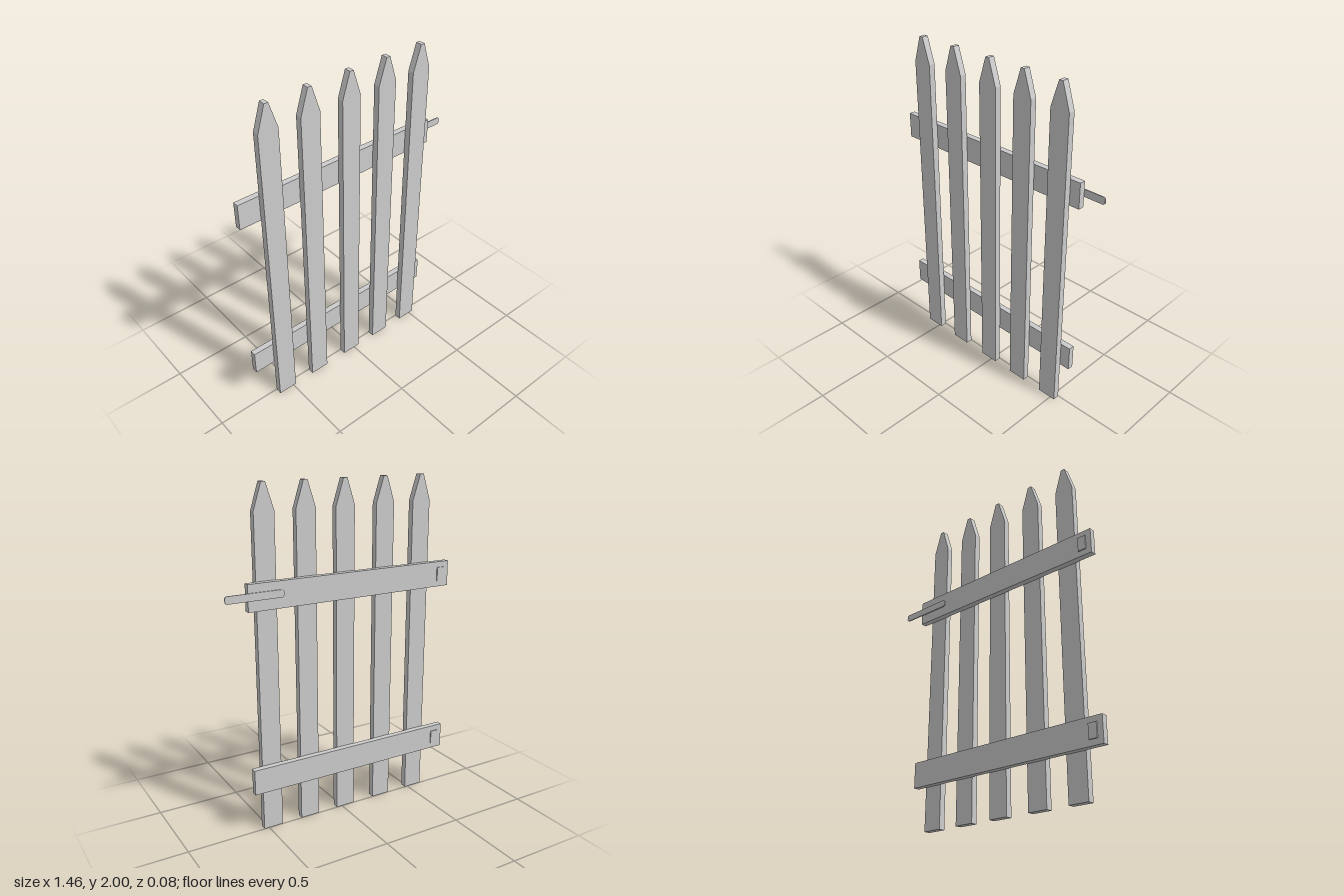
import * as THREE from 'three';

const material = new THREE.MeshStandardMaterial({ color: 0xcccccc, flatShading: true });

export function createModel() {
  const gate = new THREE.Group();
  gate.name = 'picketGate';

  const add = (name, geometry) => {
    const mesh = new THREE.Mesh(geometry, material);
    mesh.name = name;
    gate.add(mesh);
  };
  // Box given by its limits on each axis
  const box = (name, [x0, x1], [y0, y1], [z0, z1]) =>
    add(name, new THREE.BoxGeometry(x1 - x0, y1 - y0, z1 - z0)
      .translate((x0 + x1) / 2, (y0 + y1) / 2, (z0 + z1) / 2));
  // Flat outline extruded from z0 to z1
  const plate = (name, points, z0, z1, x = 0) => {
    const shape = new THREE.Shape(points.map(([px, py]) => new THREE.Vector2(px, py)));
    add(name, new THREE.ExtrudeGeometry(shape, { depth: z1 - z0, bevelEnabled: false })
      .translate(x, 0, z0));
  };

  // Pickets with blunt pointed tops
  const w = 0.06, tip = 0.012;
  const picket = [[-w, 0], [w, 0], [w, 1.85], [tip, 2], [-tip, 2], [-w, 1.85]];
  [-0.541, -0.288, -0.024, 0.223, 0.47].forEach((x, i) =>
    plate(`picket${i + 1}`, picket, 0.002, 0.041, x));

  // Rails across the back, each with a hinge plate near the right end
  for (const [label, y] of [['lower', 0.331], ['upper', 1.406]]) {
    box(`${label}Rail`, [-0.73, 0.594], [y - 0.076, y + 0.076], [-0.034, 0.002]);
    box(`${label}HingePlate`, [-0.697, -0.647], [y - 0.042, y + 0.042], [-0.041, -0.034]);
  }

  // Latch bar with clipped corners, reaching past the upper rail
  const x0 = 0.385, x1 = 0.726, y0 = 1.391, y1 = 1.434, c = 0.009;
  plate('latchBar', [
    [x0 + c, y0], [x1 - c, y0], [x1, y0 + c], [x1, y1 - c],
    [x1 - c, y1], [x0 + c, y1], [x0, y1 - c], [x0, y0 + c],
  ], -0.041, -0.034);

  return gate;
}
